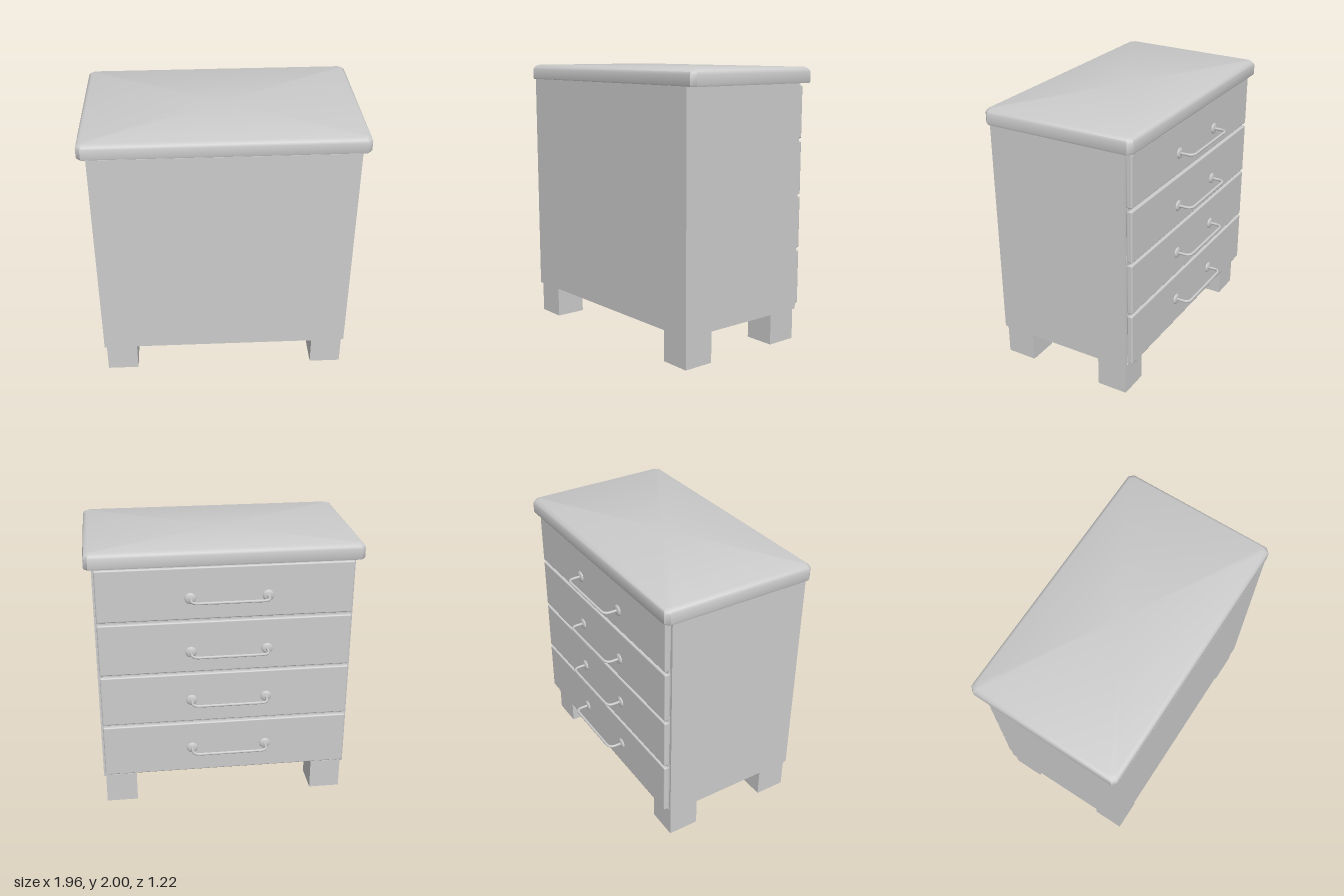
import * as THREE from 'three';
import { toCreasedNormals } from 'three/addons/utils/BufferGeometryUtils.js';
import { RoundedBoxGeometry } from 'three/addons/geometries/RoundedBoxGeometry.js';

const grey = new THREE.MeshStandardMaterial({ color: 0xcccccc });

function add(parent, name, geometry, x = 0, y = 0, z = 0) {
  const mesh = new THREE.Mesh(geometry, grey);
  mesh.name = name;
  mesh.position.set(x, y, z);
  parent.add(mesh);
  return mesh;
}

// Box given by its extents on each axis
function addBox(parent, name, [x0, x1], [y0, y1], [z0, z1]) {
  return add(parent, name, new THREE.BoxGeometry(x1 - x0, y1 - y0, z1 - z0),
    (x0 + x1) / 2, (y0 + y1) / 2, (z0 + z1) / 2);
}

// Slab with clipped corners, slightly narrower above the drawers, upper edge rounded
function topGeometry() {
  const zB = -0.527, zF = 0.613, c = 0.03;
  const levels = [[1.888, 0.6], [1.888, 0.004], [1.9, 0], [1.965, 0], [1.982, 0.006], [1.994, 0.018], [2, 0.03], [2, 0.5]];
  const positions = [], index = [], n = 8;
  for (const [y, inset] of levels) {
    const flat = inset >= 0.5;
    const i = flat ? 0 : inset;
    const k = flat ? 0 : 1;
    const b = 0.965 - i, f = 0.978 - i, zb = zB + i, zf = zF - i;
    const ring = [[f - c, zf], [f, zf - c], [b, zb + c], [b - c, zb], [-b + c, zb], [-b, zb + c], [-f, zf - c], [-f + c, zf]];
    for (const [x, z] of ring) positions.push(x * k, y, k ? z : 0.04);
  }
  for (let l = 0; l < levels.length - 1; l++) {
    for (let j = 0; j < n; j++) {
      const a = l * n + j, b = l * n + (j + 1) % n, c2 = b + n, d = a + n;
      if (l > 0) index.push(a, b, c2);
      if (l < levels.length - 2) index.push(a, c2, d);
      else continue;
    }
  }
  const g = new THREE.BufferGeometry();
  g.setAttribute('position', new THREE.Float32BufferAttribute(positions, 3));
  g.setIndex(index);
  return toCreasedNormals(g, 0.7);
}

// Bent bar pull: two legs joined by a straight grip with rounded corners
function handleGeometry() {
  const h = 0.272, out = -0.105, r = 0.05;
  const v = (x, z) => new THREE.Vector3(x, 0, z);
  const path = new THREE.CurvePath();
  path.add(new THREE.LineCurve3(v(-h, 0), v(-h, out + r)));
  path.add(new THREE.QuadraticBezierCurve3(v(-h, out + r), v(-h, out), v(-h + r, out)));
  path.add(new THREE.LineCurve3(v(-h + r, out), v(h - r, out)));
  path.add(new THREE.QuadraticBezierCurve3(v(h - r, out), v(h, out), v(h, out + r)));
  path.add(new THREE.LineCurve3(v(h, out + r), v(h, 0)));
  return new THREE.TubeGeometry(path, 80, 0.01, 10);
}

export function createModel() {
  const model = new THREE.Group();
  model.name = 'chestOfDrawers';

  add(model, 'top', topGeometry());

  // Carcass, open underneath and on the drawer side
  const carcass = new THREE.Group();
  carcass.name = 'carcass';
  model.add(carcass);
  const t = 0.02, W = 0.915, wallY = [0.23, 1.89];
  addBox(carcass, 'plainPanel', [-W, W], wallY, [0.613 - t, 0.613]);
  for (const s of [-1, 1]) {
    addBox(carcass, 'sidePanel', [s * (W - t / 2) - t / 2, s * (W - t / 2) + t / 2], wallY, [-0.45, 0.613 - t]);
  }

  // Square feet
  for (const x of [-0.785, 0.785]) {
    for (const z of [-0.325, 0.485]) {
      add(model, 'foot', new THREE.BoxGeometry(0.23, 0.23, 0.23), x, 0.115, z);
    }
  }

  // Drawers, each with a front, a box and a pull
  const fronts = [[0.265, 0.665], [0.685, 1.067], [1.085, 1.47], [1.49, 1.87]];
  const handleY = [0.46, 0.86, 1.243, 1.648];
  const handle = handleGeometry();
  const rosette = new THREE.LatheGeometry(
    [[0.04, 0], [0.04, 0.004], [0.034, 0.01], [0.02, 0.014], [0, 0.016]].map(p => new THREE.Vector2(...p)), 20);
  rosette.rotateX(-Math.PI / 2);

  fronts.forEach(([y0, y1], i) => {
    const drawer = new THREE.Group();
    drawer.name = 'drawer';
    model.add(drawer);
    add(drawer, 'drawerFront', new RoundedBoxGeometry(1.8, y1 - y0, 0.044, 3, 0.01), 0, (y0 + y1) / 2, -0.473);
    addBox(drawer, 'drawerBox', [-0.86, 0.86], [y0 + 0.025, y1 - 0.04], [-0.455, 0.26]);

    const pull = new THREE.Group();
    pull.name = 'pull';
    pull.position.set(-0.022, handleY[i], -0.495);
    drawer.add(pull);
    add(pull, 'handle', handle);
    for (const s of [-1, 1]) add(pull, 'rosette', rosette, s * 0.272, 0, 0);

    // Rail filling the gap above the drawer
    if (i < 3) addBox(carcass, 'rail', [-0.895, 0.895], [y1 - 0.01, y1 + 0.03], [-0.468, -0.42]);
  });

  return model;
}
